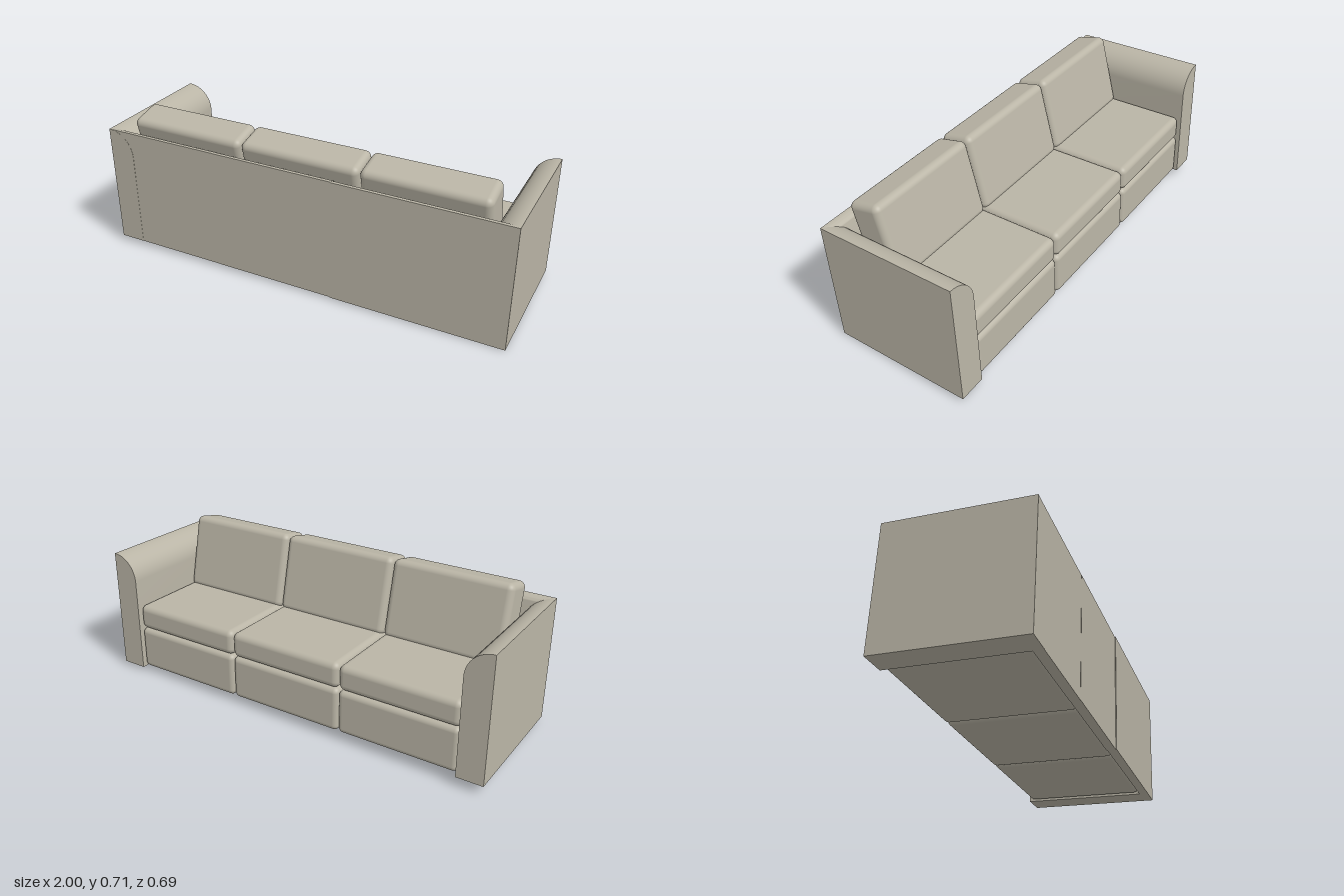
import * as THREE from 'three';
import { RoundedBoxGeometry } from 'three/addons/geometries/RoundedBoxGeometry.js';
import { toCreasedNormals } from 'three/addons/utils/BufferGeometryUtils.js';

const HALF_WIDTH = 0.996, HEIGHT = 0.59, HALF_DEPTH = 0.33;
const ARM = 0.125, BACK = 0.045, PITCH = 0.581;

// Upright slab whose inner top edge is a quarter round; x = 0 is the outer face.
function roundedSlab(width, drop, length, side) {
  const shape = new THREE.Shape();
  shape.moveTo(0, 0);
  shape.lineTo(0, HEIGHT);
  for (let i = 1; i <= 16; i++) {
    const a = (i / 16) * Math.PI / 2;
    shape.lineTo(-side * width * Math.sin(a), HEIGHT - drop * (1 - Math.cos(a)));
  }
  shape.lineTo(-side * width, 0);
  shape.closePath();
  const geometry = new THREE.ExtrudeGeometry(shape, { depth: length, bevelEnabled: false });
  return toCreasedNormals(geometry, 0.5);
}

export function createModel() {
  const model = new THREE.Group();
  model.name = 'sofa';
  const fabric = new THREE.MeshStandardMaterial({ color: 0xbab5a6 });
  fabric.name = 'beige fabric';

  function add(name, geometry, x, y, z) {
    const mesh = new THREE.Mesh(geometry, fabric);
    mesh.name = name;
    mesh.position.set(x, y, z);
    model.add(mesh);
    return mesh;
  }

  // Armrests
  for (const side of [-1, 1]) {
    add(side > 0 ? 'leftArm' : 'rightArm', roundedSlab(ARM, ARM, 2 * HALF_DEPTH, side),
      side * HALF_WIDTH, 0, -HALF_DEPTH);
  }

  // Backrest shell in three panels, the last one standing slightly proud
  const seams = [-HALF_WIDTH, -0.41, 0.18, HALF_WIDTH];
  const offsets = [-0.001, 0, 0.004];
  for (let i = 0; i < 3; i++) {
    const panel = add('backPanel' + (i + 1), roundedSlab(BACK, 0.03, seams[i + 1] - seams[i], 1),
      seams[i + 1], 0, HALF_DEPTH + offsets[i]);
    panel.rotation.y = -Math.PI / 2;
  }

  // Three seats: base block, seat cushion and leaning back cushion
  for (let i = 0; i < 3; i++) {
    const x = (i - 1) * PITCH;
    add('seatBase' + (i + 1), new RoundedBoxGeometry(0.579, 0.211, 0.606, 5, 0.025), x, 0.1105, -0.015);
    add('seatCushion' + (i + 1), new RoundedBoxGeometry(0.579, 0.122, 0.606, 5, 0.03), x, 0.278, -0.015);
    const cushion = add('backCushion' + (i + 1),
      new RoundedBoxGeometry(0.577, 0.37, 0.165, 5, 0.03), x, 0.488, 0.18);
    cushion.rotation.x = 0.22;
  }

  // The whole piece rests at a slight tilt
  model.rotation.set(0.027, -0.0075, -0.0135);
  model.position.set(-0.004, 0.0224, -0.006);
  const root = new THREE.Group();
  root.name = 'tiltedSofa';
  root.add(model);
  return root;
}
